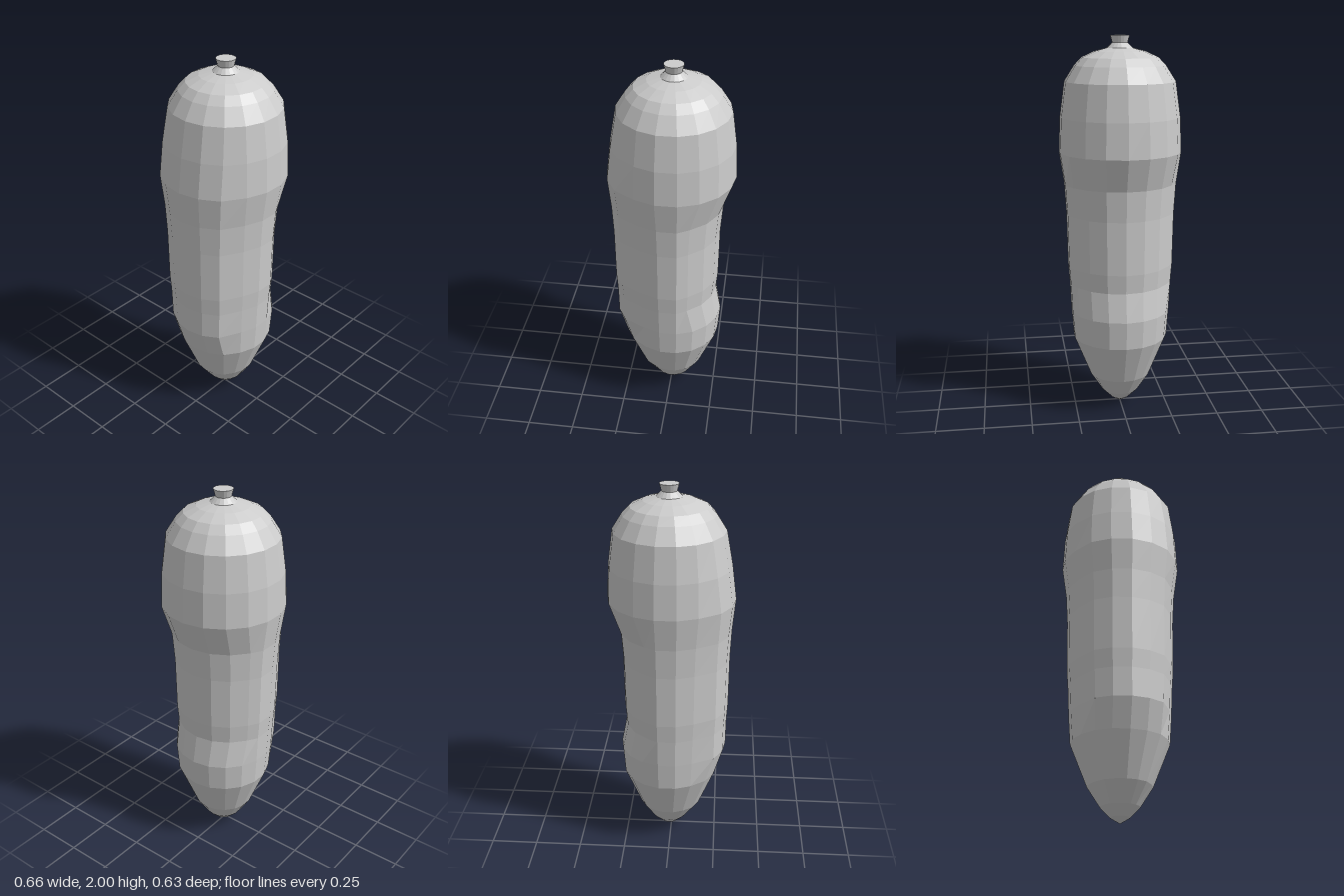
import * as THREE from 'three';

const SIDES = 18;
const AXIS_X = 0.01;

// Rings from bottom to top: [height, radius, shift of -x flank, shift of +x flank]
const BODY = [
  [0, 0, 0, 0],
  [0.03, 0.05, 0, 0],
  [0.08, 0.1, 0, 0],
  [0.18, 0.165, -0.01, 0],
  [0.4, 0.254, -0.01, 0],
  [0.55, 0.265, -0.045, 0],
  [0.7, 0.272, -0.04, -0.036],
  [0.8, 0.28, -0.038, -0.036],
  [1.08, 0.285, -0.035, -0.038],
  [1.24, 0.295, -0.032, -0.036],
  [1.41, 0.32, -0.023, 0],
  [1.59, 0.312, -0.008, 0],
  [1.77, 0.287, 0, 0],
  [1.85, 0.236, 0, 0],
  [1.89, 0.198, 0, 0],
  [1.92, 0.133, 0, 0],
  [1.937, 0.067, 0, 0],
];

const STEM = [
  [1.937, 0.067, 0, 0],
  [1.963, 0.04, 0, 0],
  [2, 0.05, 0, 0],
  [2, 0, 0, 0],
];

// One corner of a ring; the flanks are pushed sideways as a block
function corner([y, r, left, right], i) {
  const step = i % SIDES;
  const fromRight = Math.min(step, SIDES - step);
  const fromLeft = SIDES / 2 - fromRight;
  const shift = fromRight <= 3 ? right : fromLeft <= 2 ? left : 0;
  const a = (step / SIDES) * Math.PI * 2;
  return [AXIS_X + r * Math.cos(a) + shift, y, r * Math.sin(a)];
}

// Skin between successive rings, leaving out the empty triangles at the poles
function skin(rings) {
  const pos = [];
  for (let j = 0; j < rings.length - 1; j++) {
    const low = rings[j], high = rings[j + 1];
    for (let i = 0; i < SIDES; i++) {
      const ll = corner(low, i + 1), lr = corner(low, i);
      const hr = corner(high, i), hl = corner(high, i + 1);
      if (low[1] > 0) pos.push(...ll, ...lr, ...hr);
      if (high[1] > 0) pos.push(...ll, ...hr, ...hl);
    }
  }
  const geo = new THREE.BufferGeometry();
  geo.setAttribute('position', new THREE.Float32BufferAttribute(pos, 3));
  geo.computeVertexNormals();
  return geo;
}

export function createModel() {
  const group = new THREE.Group();
  group.name = 'vegetable';
  const material = new THREE.MeshStandardMaterial({ color: 0xcccccc, flatShading: true });

  // Long lumpy body with a dented flank
  const body = new THREE.Mesh(skin(BODY), material);
  body.name = 'body';

  // Short flared stalk with a flat cut end
  const stem = new THREE.Mesh(skin(STEM), material);
  stem.name = 'stem';

  group.add(body, stem);
  return group;
}
